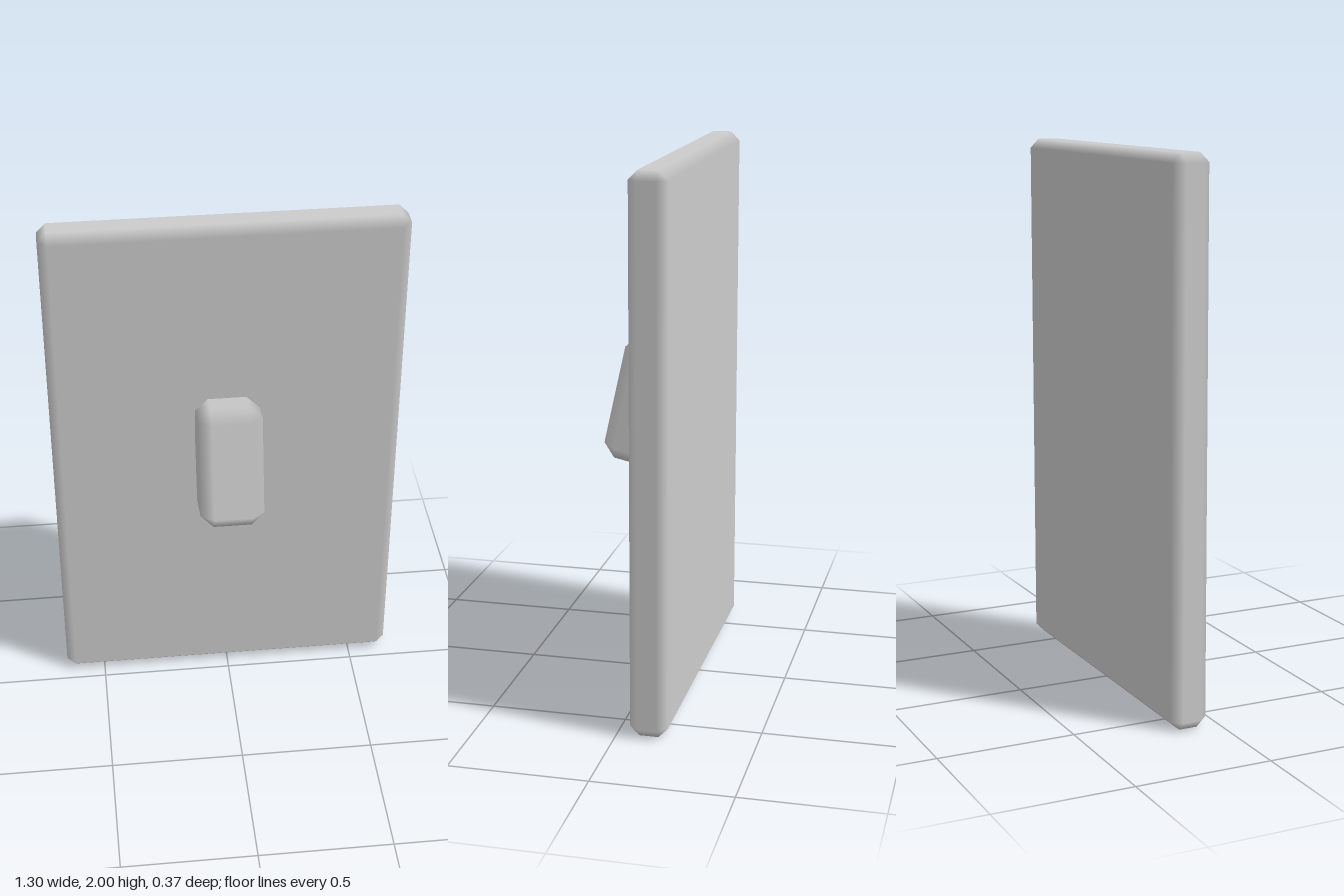
import * as THREE from 'three';

// Box with one-step chamfers: flat faces, with shading blended across the chamfers.
function chamferedBox(w, h, d, c) {
  const half = [w / 2, h / 2, d / 2];
  const positions = [], normals = [], index = [];
  const signs = [-1, 1];

  // Each corner has three vertices, one per adjoining face (axis)
  const id = (s, axis) => ((s[0] > 0 ? 4 : 0) + (s[1] > 0 ? 2 : 0) + (s[2] > 0 ? 1 : 0)) * 3 + axis;
  for (const x of signs) for (const y of signs) for (const z of signs) {
    const s = [x, y, z];
    for (let axis = 0; axis < 3; axis++) {
      positions.push(...s.map((v, i) => v * (half[i] - (i === axis ? 0 : c))));
      normals.push(...s.map((v, i) => (i === axis ? v : 0)));
    }
  }

  // Adds a convex polygon, wound so that it faces away from the centre
  const point = i => new THREE.Vector3().fromArray(positions, i * 3);
  const addFace = ids => {
    const [p, q, r] = ids.map(point);
    const n = q.clone().sub(p).cross(r.clone().sub(p));
    if (n.dot(p) < 0) ids.reverse();
    for (let i = 1; i < ids.length - 1; i++) index.push(ids[0], ids[i], ids[i + 1]);
  };
  const corner = (a, sa, b, sb, e, se) => {
    const s = [];
    s[a] = sa; s[b] = sb; s[e] = se;
    return s;
  };

  for (let a = 0; a < 3; a++) {
    const b = (a + 1) % 3, e = (a + 2) % 3;
    for (const sa of signs) {
      // Flat face
      addFace([[-1, -1], [1, -1], [1, 1], [-1, 1]].map(([sb, se]) => id(corner(a, sa, b, sb, e, se), a)));
      // Edge chamfers between the faces on axes a and b
      for (const sb of signs) {
        const lo = corner(a, sa, b, sb, e, -1), hi = corner(a, sa, b, sb, e, 1);
        addFace([id(lo, a), id(hi, a), id(hi, b), id(lo, b)]);
      }
    }
  }
  // Corner triangles
  for (const x of signs) for (const y of signs) for (const z of signs) {
    addFace([0, 1, 2].map(axis => id([x, y, z], axis)));
  }

  const geometry = new THREE.BufferGeometry();
  geometry.setAttribute('position', new THREE.Float32BufferAttribute(positions, 3));
  geometry.setAttribute('normal', new THREE.Float32BufferAttribute(normals, 3));
  geometry.setIndex(index);
  return geometry;
}

export function createModel() {
  const group = new THREE.Group();
  group.name = 'lightSwitch';
  const material = new THREE.MeshStandardMaterial({ color: 0xcccccc });

  // Wall plate
  const plate = new THREE.Mesh(chamferedBox(1.3, 2, 0.137, 0.034), material);
  plate.name = 'wallPlate';
  plate.position.set(0, 1, -0.115);
  group.add(plate);

  // Toggle, leaning back at the top and sunk into the plate
  const toggle = new THREE.Mesh(chamferedBox(0.238, 0.474, 0.235, 0.048), material);
  toggle.name = 'toggle';
  toggle.position.set(0, 1.07, 0.03);
  toggle.rotation.x = THREE.MathUtils.degToRad(-12.5);
  group.add(toggle);

  return group;
}
